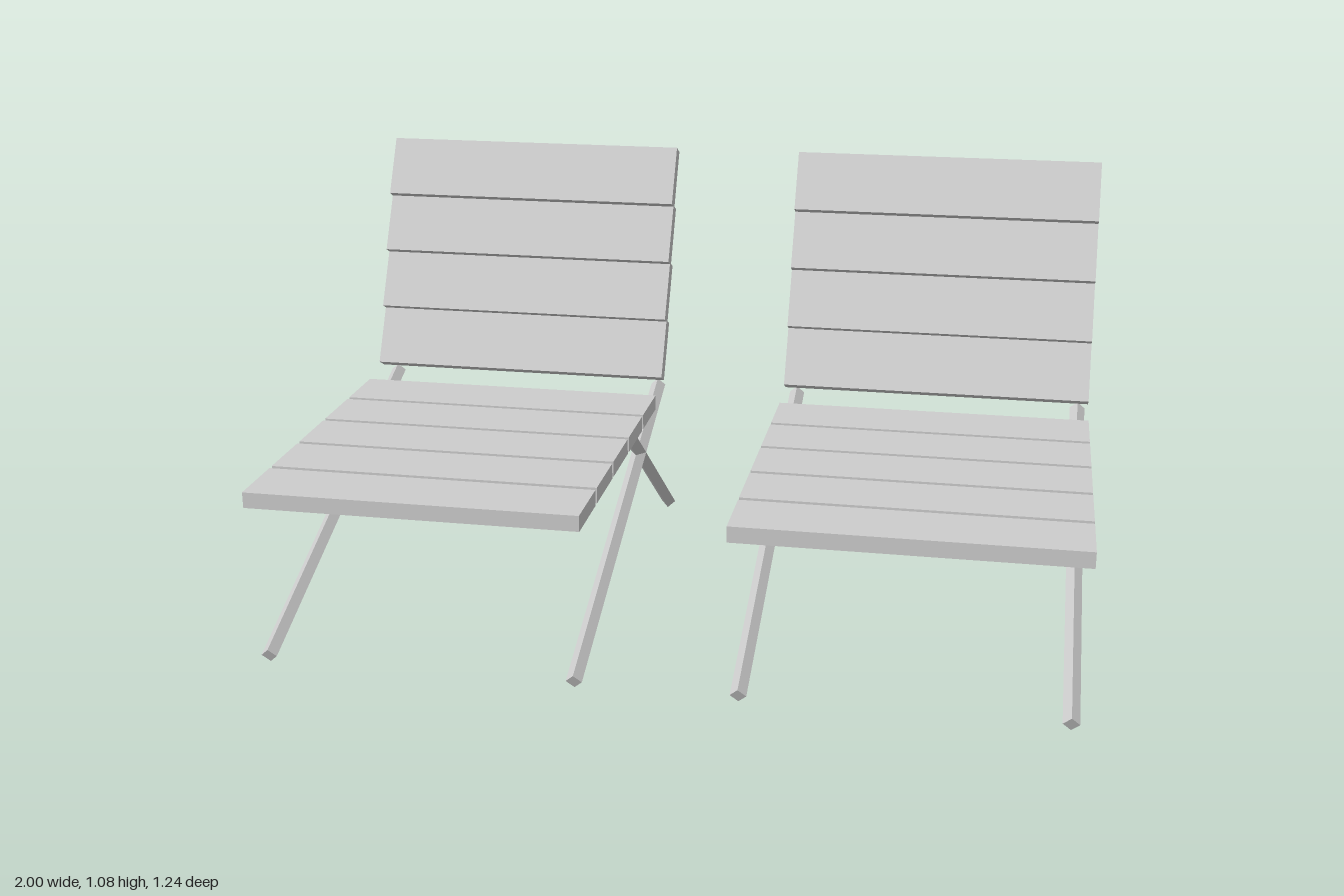
import * as THREE from 'three';

const grey = new THREE.MeshStandardMaterial({ color: 0xcccccc });
grey.name = 'light grey';

const WIDTH = 0.827;
const slatGeometry = new THREE.BoxGeometry(WIDTH, 0.04, 0.165);

// Square bar set on edge, running between two points [y, z] in a plane of constant x
function bar(name, x, [y0, z0], [y1, z1]) {
  const length = Math.hypot(y1 - y0, z1 - z0);
  const geometry = new THREE.CylinderGeometry(0.02, 0.02, length, 4).toNonIndexed();
  geometry.computeVertexNormals();
  const mesh = new THREE.Mesh(geometry, grey);
  mesh.name = name;
  mesh.position.set(x, (y0 + y1) / 2, (z0 + z1) / 2);
  mesh.rotation.x = Math.atan2(z1 - z0, y1 - y0);
  return mesh;
}

function slat(name, y, z, tilt = 0) {
  const mesh = new THREE.Mesh(slatGeometry, grey);
  mesh.name = name;
  mesh.position.set(0, y, z);
  mesh.rotation.x = tilt;
  return mesh;
}

function createChair() {
  const chair = new THREE.Group();

  // Flat seat of five slats
  for (let i = 0; i < 5; i++) {
    chair.add(slat('seatSlat', 0.437, 0.542 - i * 0.1793));
  }

  // Reclined back of four overlapping slats
  for (let i = 0; i < 4; i++) {
    chair.add(slat('backSlat', 0.545 + i * 0.1527, -0.398 - i * 0.055, Math.PI / 2 - 0.5));
  }

  // Crossed legs on each side
  for (const side of [-1, 1]) {
    const x = side * 0.387;
    chair.add(bar('frontLeg', x, [0.019, 0.608], [0.434, -0.427]));
    chair.add(bar('rearLeg', x, [0.02, -0.565], [0.435, -0.012]));
  }
  return chair;
}

export function createModel() {
  const model = new THREE.Group();
  model.name = 'chairPair';
  for (const side of [-1, 1]) {
    const chair = createChair();
    chair.name = side > 0 ? 'leftChair' : 'rightChair';
    chair.position.x = side * 0.5865;
    model.add(chair);
  }
  return model;
}
